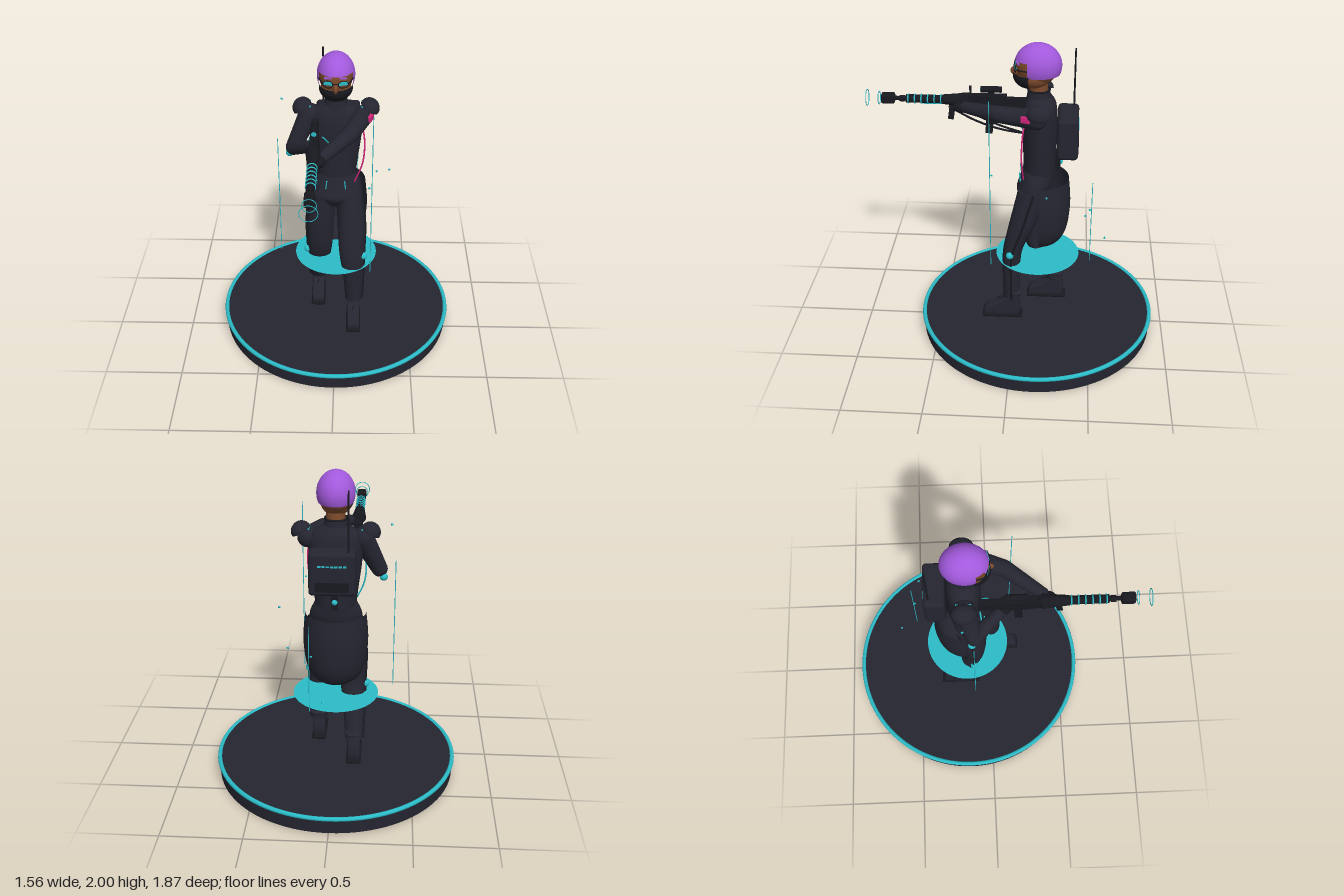
import * as THREE from 'three';
import { RoundedBoxGeometry } from 'three/addons/geometries/RoundedBoxGeometry.js';

const V = (p) => new THREE.Vector3(...p);

function material(name, color, side = THREE.FrontSide) {
  const m = new THREE.MeshStandardMaterial({ color, side });
  m.name = name;
  return m;
}

// Vertical body section: rows of [y, centreX, centreZ, radiusX, radiusZ], bottom to top
function loft(rows) {
  const a = new THREE.CatmullRomCurve3(rows.map((r) => V([r[1], r[0], r[2]])));
  const b = new THREE.CatmullRomCurve3(rows.map((r) => V([r[3], 0, r[4]])));
  const geo = new THREE.CylinderGeometry(1, 1, 1, 28, 24);
  const pos = geo.attributes.position;
  for (let i = 0; i < pos.count; i++) {
    const t = THREE.MathUtils.clamp(pos.getY(i) + 0.5, 0, 1);
    const c = a.getPoint(t), r = b.getPoint(t);
    pos.setXYZ(i, c.x + pos.getX(i) * r.x, c.y, c.z + pos.getZ(i) * r.z);
  }
  geo.computeVertexNormals();
  return geo;
}

export function createModel() {
  const model = new THREE.Group();
  const cloth = material('dark cloth', 0x242530);
  const shell = material('dark cloth shell', 0x242530, THREE.DoubleSide);
  const black = material('black gear', 0x18191f, THREE.DoubleSide);
  const teal = material('teal glow', 0x2bbcc8, THREE.DoubleSide);
  const pink = material('magenta', 0xd8267c);
  const hair = material('purple hair', 0xa259dc, THREE.DoubleSide);
  const skin = material('brown skin', 0x7c4a2b);

  const add = (name, geo, mat, p = [0, 0, 0], rot = [0, 0, 0], s = [1, 1, 1]) => {
    const m = new THREE.Mesh(geo, mat);
    m.name = name;
    m.position.set(...p);
    m.rotation.set(...rot);
    m.scale.set(...s);
    model.add(m);
    return m;
  };
  const box = (name, mat, p, size, rot) => add(name, new THREE.BoxGeometry(...size), mat, p, rot);
  const ball = (name, mat, p, size, rot) =>
    add(name, new THREE.SphereGeometry(1, 28, 20), mat, p, rot, Array.isArray(size) ? size : [size, size, size]);
  const tube = (name, mat, pts, r) =>
    add(name, new THREE.TubeGeometry(new THREE.CatmullRomCurve3(pts.map(V)), 32, r, 8), mat);
  const rod = (name, mat, a, b, ra, rb = ra) => {
    const d = V(b).sub(V(a));
    const m = add(name, new THREE.CylinderGeometry(rb, ra, d.length(), 20), mat);
    m.position.copy(V(a).add(V(b)).multiplyScalar(0.5));
    m.quaternion.setFromUnitVectors(V([0, 1, 0]), d.normalize());
  };
  const limb = (name, mat, a, b, ra, rb) => {
    rod(name, mat, a, b, ra, rb);
    ball(name + 'Start', mat, a, ra);
    ball(name + 'End', mat, b, rb);
  };

  // Display base with glowing rim, floating disc and light beams
  const cz = -0.15;
  add('base', new THREE.CylinderGeometry(0.77, 0.765, 0.105, 96), cloth, [0, 0.0525, cz]);
  add('baseRim', new THREE.TorusGeometry(0.765, 0.014, 10, 96), teal, [0, 0.1, cz], [Math.PI / 2, 0, 0]);
  add('floatingDisc', new THREE.CircleGeometry(0.272, 48), teal, [0, 0.54, cz], [-Math.PI / 2, 0, 0]);
  [[0.227, 0.14, 1.72], [-0.365, -0.105, 1.43], [0.142, -0.49, 1.15]].forEach(([x, z, top]) =>
    rod('lightBeam', teal, [x, 0.58, z], [x, top, z], 0.0025));
  [[0.27, 0.99, -0.45], [0.345, 1.15, -0.21], [-0.335, 1.68, -0.165], [0.055, 0.7, -0.585],
    [0.13, 0.95, -0.48], [0.21, 1.22, 0.13]].forEach((p) => box('spark', teal, p, [0.01, 0.01, 0.01], [0.5, 0.5, 0]));

  // Torso, pelvis and collar
  add('pelvis', loft([[0.96, 0, -0.12, 0.1, 0.07], [1.04, 0, -0.12, 0.168, 0.108],
    [1.1, 0, -0.135, 0.162, 0.106], [1.18, 0, -0.15, 0.128, 0.1]]), cloth);
  add('jacket', loft([[1.16, 0, -0.155, 0.127, 0.1], [1.28, 0, -0.155, 0.14, 0.103], [1.42, 0, -0.155, 0.158, 0.107],
    [1.55, 0, -0.155, 0.168, 0.106], [1.62, 0, -0.155, 0.15, 0.095], [1.67, 0, -0.15, 0.08, 0.072]]), cloth);
  add('collar', new THREE.CylinderGeometry(0.066, 0.076, 0.06, 28), cloth, [0, 1.68, -0.145]);
  add('collarRim', new THREE.TorusGeometry(0.066, 0.006, 8, 28), black, [0, 1.71, -0.145], [Math.PI / 2, 0, 0]);
  for (const x of [-0.06, 0.06])
    box('waistMark', teal, [x, 1.135, -0.035], [0.007, 0.06, 0.008], [0.1, 0, x * 2]);

  // Legs: the left one steps forward
  const leg = (s, rows, footZ, knee) => {
    add('trouserLeg', loft(rows), cloth);
    ball('kneeLight', teal, knee, 0.024);
    const [, ax, az] = rows[0];
    rod('ankle', skin, [ax, 0.19, az - 0.005], [ax, 0.28, az], 0.036);
    ball('trouserCuff', cloth, [ax + 0.005, 0.31, az - 0.025], [0.058, 0.018, 0.048]);
    // Shoe from a side outline, toe towards the front
    const o = new THREE.Shape();
    o.moveTo(-0.095, 0);
    o.lineTo(0.115, 0);
    o.quadraticCurveTo(0.125, 0.03, 0.085, 0.05);
    o.quadraticCurveTo(0.02, 0.075, -0.01, 0.105);
    o.lineTo(-0.085, 0.115);
    o.quadraticCurveTo(-0.11, 0.05, -0.095, 0);
    const geo = new THREE.ExtrudeGeometry(o, { depth: 0.045, bevelThickness: 0.018, bevelSize: 0.012, bevelSegments: 4, curveSegments: 10 });
    geo.translate(0, 0, -0.0225);
    geo.rotateY(-Math.PI / 2);
    add('shoe', geo, cloth, [ax, 0.142, footZ]);
    add('sole', new RoundedBoxGeometry(0.095, 0.022, 0.265, 2, 0.01), black, [ax, 0.124, footZ + 0.005]);
    add('shoeLoop', new THREE.TorusGeometry(0.015, 0.003, 6, 16), black, [ax, 0.23, footZ + 0.02], [0, 1.2, 0]);
    const side = rows.map(([y, x, z, rx]) => [x + s * (rx + 0.002), y, z]);
    tube('sidePiping', black, side, 0.007);
  };
  leg(1, [[0.265, 0.122, 0.012, 0.056, 0.056], [0.45, 0.118, 0.015, 0.066, 0.058], [0.62, 0.107, 0.008, 0.08, 0.062],
    [0.82, 0.102, -0.055, 0.09, 0.085], [1.06, 0.085, -0.125, 0.082, 0.1]], 0.07, [0.185, 0.622, 0.022]);
  leg(-1, [[0.265, -0.122, -0.255, 0.056, 0.05], [0.42, -0.118, -0.19, 0.066, 0.058], [0.6, -0.107, -0.115, 0.08, 0.062],
    [0.82, -0.102, -0.11, 0.09, 0.085], [1.06, -0.085, -0.125, 0.082, 0.1]], -0.215, [-0.19, 0.585, -0.11]);

  // Coat tail: a half shell round the back, rounded below
  const tail = [[0.005, 0.62], [0.06, 0.625], [0.11, 0.65], [0.15, 0.69], [0.178, 0.76], [0.192, 0.86], [0.195, 0.97], [0.182, 1.11]];
  const tailCurve = new THREE.SplineCurve(tail.map((p) => new THREE.Vector2(...p)));
  add('coatTail', new THREE.LatheGeometry(tailCurve.getPoints(24), 28, Math.PI / 2, Math.PI), shell, [0, 0, -0.16], [0, 0, 0], [1.04, 1, 1]);

  // Head, hair, mask and glasses
  rod('neck', skin, [0, 1.67, -0.145], [0, 1.79, -0.135], 0.058);
  ball('head', skin, [0, 1.865, -0.135], [0.104, 0.126, 0.13]);
  ball('jaw', skin, [0, 1.795, -0.115], [0.092, 0.075, 0.1]);
  ball('nose', skin, [0, 1.825, -0.002], [0.015, 0.028, 0.03], [-0.5, 0, 0]);
  const hs = [0.116, 0.136, 0.143];
  add('hairTop', new THREE.SphereGeometry(1, 36, 16, 0, Math.PI * 2, 0, 1.28), hair, [0, 1.864, -0.138], [0, 0, 0], hs);
  add('hairBack', new THREE.SphereGeometry(1, 36, 12, Math.PI - 0.45, Math.PI + 0.9, 1.27, 0.7), hair, [0, 1.864, -0.138], [0, 0, 0], hs);
  add('faceMask', new THREE.SphereGeometry(1, 28, 16, 0.1, Math.PI - 0.2, 1.3, Math.PI - 1.3), black, [0, 1.798, -0.095], [0, 0, 0], [0.103, 0.08, 0.107]);
  for (const s of [-1, 1]) {
    box('eyebrow', hair, [s * 0.045, 1.89, -0.018], [0.045, 0.009, 0.012], [0, s * 0.35, -s * 0.12]);
    box('lens', teal, [s * 0.046, 1.862, -0.004], [0.054, 0.02, 0.006], [0, s * 0.25, 0]);
    add('lensRim', new THREE.TorusGeometry(0.03, 0.003, 6, 24), black, [s * 0.046, 1.858, -0.002], [0, s * 0.25, 0], [1, 0.75, 1]);
    rod('glassesArm', black, [s * 0.076, 1.858, -0.008], [s * 0.11, 1.85, -0.125], 0.004);
    // Shoulder shell
    add('shoulderPad', new THREE.SphereGeometry(1, 24, 12, 0, Math.PI * 2, 0, Math.PI / 2), shell,
      [s * 0.208, 1.63, -0.155], [0, 0, -s * 0.5], [0.062, 0.058, 0.075]);
    box('shoulderLight', teal, [s * 0.16, 1.652, -0.155], [0.008, 0.008, 0.09]);
  }
  rod('glassesBridge', black, [-0.018, 1.86, 0.002], [0.018, 1.86, 0.002], 0.003);

  // Right arm bent to the trigger, left arm stretched to the front grip
  limb('rightUpperArm', cloth, [-0.165, 1.59, -0.15], [-0.265, 1.375, -0.1], 0.065, 0.05);
  limb('rightForearm', cloth, [-0.265, 1.375, -0.1], [-0.14, 1.47, 0.06], 0.05, 0.036);
  ball('rightGlove', black, [-0.127, 1.485, 0.085], [0.034, 0.042, 0.04]);
  ball('elbowLight', teal, [-0.292, 1.328, -0.115], 0.025);
  limb('leftUpperArm', cloth, [0.17, 1.585, -0.14], [0.09, 1.575, 0.09], 0.063, 0.052);
  limb('leftForearm', cloth, [0.09, 1.575, 0.09], [-0.065, 1.545, 0.31], 0.052, 0.036);
  ball('leftGlove', black, [-0.09, 1.535, 0.345], [0.04, 0.036, 0.045]);
  box('armBand', pink, [0.214, 1.6, -0.075], [0.02, 0.035, 0.055], [0, -0.33, 0]);

  // Rifle along the front axis
  const gx = -0.123, gy = 1.57;
  const barrel = (name, z0, z1, r0, r1 = r0) => rod(name, black, [gx, gy, z0], [gx, gy, z1], r0, r1);
  box('receiver', black, [gx, 1.565, 0.2], [0.05, 0.085, 0.28]);
  box('stock', black, [gx, 1.555, 0.0], [0.04, 0.07, 0.14]);
  barrel('handguard', 0.3, 0.46, 0.045, 0.03);
  barrel('barrelSleeve', 0.45, 0.69, 0.026);
  barrel('barrel', 0.68, 0.77, 0.014);
  barrel('barrelNut', 0.7, 0.73, 0.02);
  add('muzzle', new RoundedBoxGeometry(0.06, 0.06, 0.085, 2, 0.012), black, [gx, gy, 0.803]);
  for (let i = 0; i < 6; i++)
    add('barrelRing', new THREE.TorusGeometry(0.027, 0.0045, 8, 24), teal, [gx, gy, 0.47 + i * 0.041]);
  box('underStrip', teal, [gx, 1.542, 0.53], [0.012, 0.008, 0.14]);
  rod('scope', black, [gx, 1.645, 0.09], [gx, 1.645, 0.22], 0.02);
  add('scopeLens', new THREE.CircleGeometry(0.016, 20), teal, [gx, 1.645, 0.222]);
  box('scopeMount', black, [gx, 1.615, 0.155], [0.02, 0.04, 0.04]);
  box('frontSight', black, [gx, 1.635, 0.285], [0.01, 0.06, 0.012]);
  box('magazine', black, [gx, 1.44, 0.165], [0.032, 0.18, 0.045], [-0.08, 0, 0]);
  box('pistolGrip', black, [gx, 1.49, 0.075], [0.032, 0.1, 0.04], [0.3, 0, 0]);
  box('foregrip', black, [gx, 1.49, 0.405], [0.028, 0.1, 0.035], [-0.15, 0, 0]);
  [[0.935, 0.05], [0.86, 0.04]].forEach(([z, r]) =>
    add('muzzleHalo', new THREE.TorusGeometry(r, 0.0025, 6, 40), teal, [gx, gy, z]));
  [0, 0.025].forEach((d) =>
    tube('slingCable', black, [[gx + d, 1.535, 0.42], [gx + d, 1.47 - d, 0.26], [gx + 0.02, 1.41 - d, 0.1], [-0.08, 1.37, -0.06]], 0.007));

  // Chest cables
  tube('magentaCable', pink, [[0.155, 1.58, -0.07], [0.178, 1.46, -0.055], [0.17, 1.3, -0.05], [0.12, 1.15, -0.06]], 0.005);
  tube('tealCable', teal, [[-0.15, 1.5, -0.06], [-0.182, 1.38, -0.05], [-0.17, 1.26, -0.05], [-0.12, 1.15, -0.06]], 0.005);
  tube('chestCable', teal, [[-0.08, 1.51, 0.01], [-0.05, 1.46, -0.02], [-0.035, 1.41, -0.055]], 0.005);

  // Backpack with antenna and spine light
  add('backpack', new RoundedBoxGeometry(0.28, 0.27, 0.13, 4, 0.025), cloth, [0.01, 1.435, -0.327]);
  for (let i = 0; i < 7; i++)
    box('packLight', teal, [-0.065 + i * 0.025, 1.49, -0.393], [0.02, 0.01, 0.006]);
  box('packSide', black, [0.01, 1.36, -0.392], [0.2, 0.06, 0.006]);
  rod('antenna', black, [-0.085, 1.55, -0.36], [-0.085, 1.94, -0.36], 0.006, 0.005);
  box('spineClip', black, [0, 1.235, -0.268], [0.04, 0.13, 0.035]);
  ball('spineLight', teal, [0, 1.22, -0.283], 0.018);
  return model;
}
